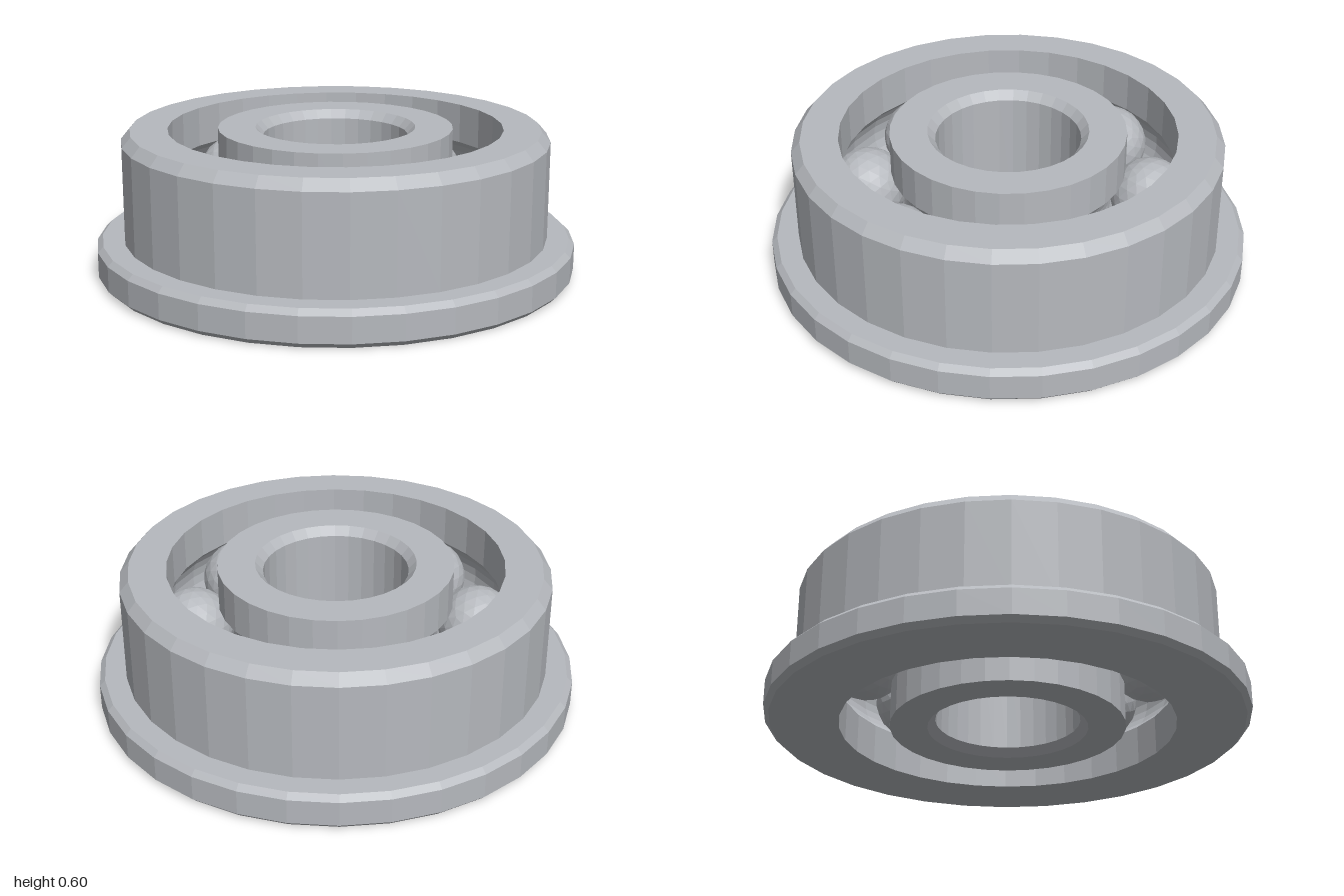
import * as THREE from 'three';

const SEGMENTS = 32;
const HEIGHT = 0.6;
const MID = HEIGHT / 2;
const PITCH = 0.592; // radius of the circle of ball centres
const BALL = 0.163;
const GROOVE = 0.166;

// Arc of the ball groove cut into a wall of radius r, listed from y low to y high
function grooveArc(r, steps = 8) {
  const side = Math.sign(r - PITCH);
  const half = Math.acos(Math.abs(r - PITCH) / GROOVE);
  return Array.from({ length: steps + 1 }, (_, i) => {
    const a = -half + (2 * half * i) / steps;
    return [PITCH + side * GROOVE * Math.cos(a), MID + GROOVE * Math.sin(a)];
  });
}

// Closed ring turned from a counter-clockwise [radius, y] profile
function turnedRing(name, profile, material) {
  const points = [...profile, profile[0]].map(([r, y]) => new THREE.Vector2(r, y));
  const mesh = new THREE.Mesh(new THREE.LatheGeometry(points, SEGMENTS), material);
  mesh.name = name;
  return mesh;
}

export function createModel() {
  const steel = new THREE.MeshStandardMaterial({ color: 0xb6b9be, flatShading: true });
  steel.name = 'steel';

  const model = new THREE.Group();
  model.name = 'flangedBallBearing';

  // Outer ring with bevelled flange and inner groove
  const outerWall = 0.695;
  model.add(turnedRing('outerRing', [
    [outerWall, 0], [0.978, 0], [1, 0.022], [1, 0.127], [0.977, 0.15],
    [0.887, 0.15], [0.887, 0.557], [0.85, HEIGHT], [outerWall, HEIGHT],
    ...grooveArc(outerWall).reverse(),
  ], steel));

  // Inner ring with bevelled bore and outer groove
  const innerWall = 0.487;
  model.add(turnedRing('innerRing', [
    [0.332, 0], [innerWall, 0],
    ...grooveArc(innerWall),
    [innerWall, HEIGHT], [0.332, HEIGHT], [0.3, HEIGHT - 0.035], [0.3, 0.035],
  ], steel));

  // Eight balls between the rings
  const balls = new THREE.Group();
  balls.name = 'balls';
  const ballGeometry = new THREE.IcosahedronGeometry(BALL, 3);
  for (let i = 0; i < 8; i++) {
    const a = (i * Math.PI) / 4;
    const ball = new THREE.Mesh(ballGeometry, steel);
    ball.name = `ball${i + 1}`;
    ball.position.set(PITCH * Math.sin(a), MID, PITCH * Math.cos(a));
    balls.add(ball);
  }
  model.add(balls);

  return model;
}
